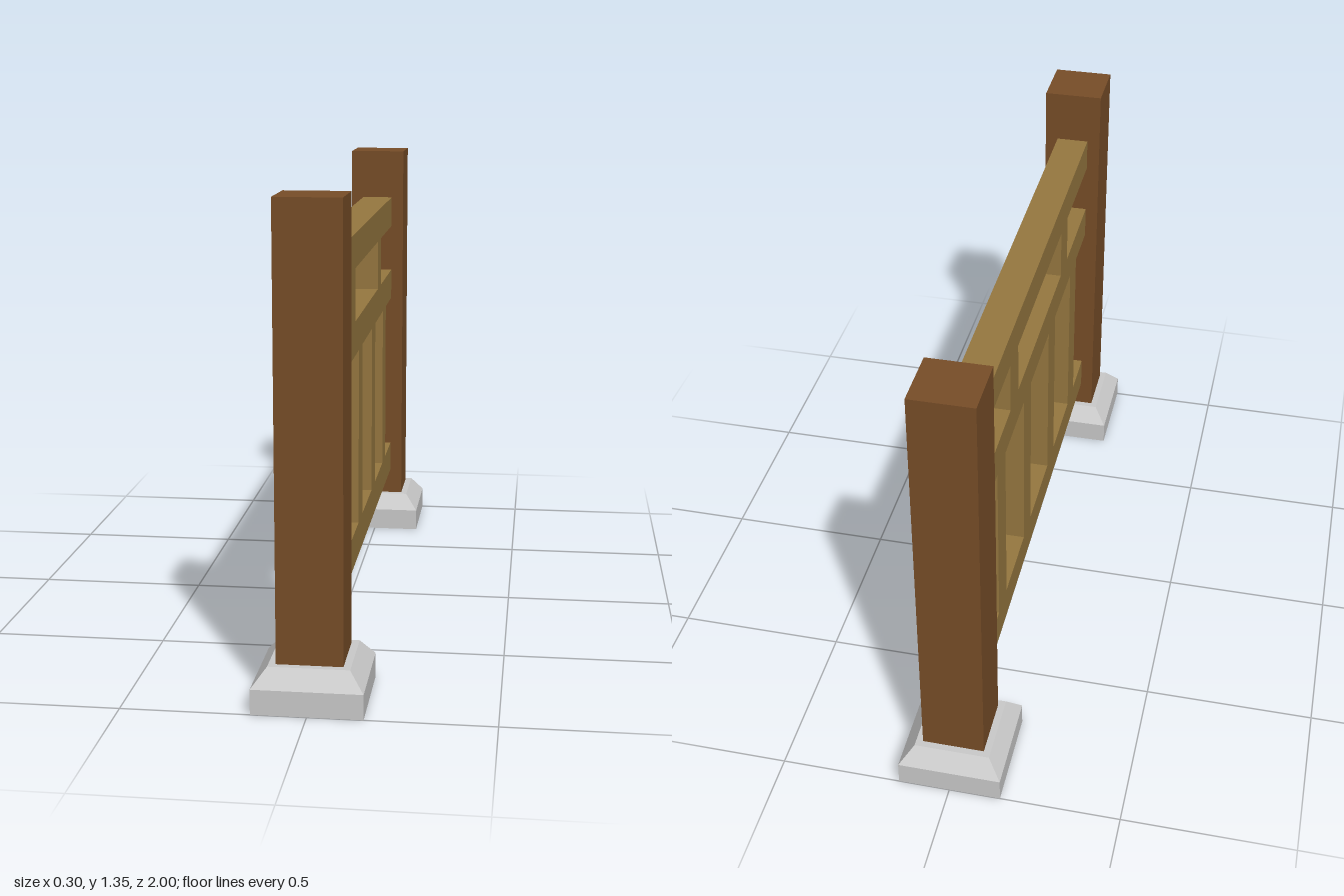
import * as THREE from 'three';

const postWood = new THREE.MeshStandardMaterial({ color: 0x784e28, flatShading: true });
const railWood = new THREE.MeshStandardMaterial({ color: 0x977840, flatShading: true });
const stone = new THREE.MeshStandardMaterial({ color: 0xcccccc, flatShading: true });

const POST_Z = 0.85;      // post centre
const POST_WIDTH = 0.18;
const BAR = 0.1;          // thickness of rails and uprights

// Box spanning y0..y1, centred on x = 0 and on z
function beam(name, material, width, depth, y0, y1, z = 0) {
  const mesh = new THREE.Mesh(new THREE.BoxGeometry(width, y1 - y0, depth), material);
  mesh.name = name;
  mesh.position.set(0, (y0 + y1) / 2, z);
  return mesh;
}

// Square block whose sides may taper from one half width to another
function taperedBlock(name, material, halfBottom, halfTop, y0, y1) {
  const geometry = new THREE.CylinderGeometry(
    halfTop * Math.SQRT2, halfBottom * Math.SQRT2, y1 - y0, 4);
  geometry.rotateY(Math.PI / 4);
  const mesh = new THREE.Mesh(geometry, material);
  mesh.name = name;
  mesh.position.y = (y0 + y1) / 2;
  return mesh;
}

export function createModel() {
  const fence = new THREE.Group();
  fence.name = 'fenceSection';

  // Posts on bevelled stone footings
  for (const [side, sign] of [['front', 1], ['back', -1]]) {
    const post = new THREE.Group();
    post.name = side + 'PostAssembly';
    post.position.z = sign * POST_Z;
    post.add(
      beam(side + 'Post', postWood, POST_WIDTH, POST_WIDTH, 0.12, 1.35),
      beam(side + 'Footing', stone, 0.3, 0.3, 0, 0.07),
      taperedBlock(side + 'FootingBevel', stone, 0.15, 0.11, 0.07, 0.12));
    fence.add(post);
  }

  // Horizontal rails between the inner post faces
  const railLength = 2 * POST_Z - POST_WIDTH;
  for (const [name, y0] of [['bottomRail', 0.205], ['middleRail', 0.835], ['topRail', 1.09]]) {
    fence.add(beam(name, railWood, BAR, railLength, y0, y0 + BAR));
  }

  // Tall balusters between the bottom and middle rails
  [0.545, 0.195, -0.17, -0.515].forEach((z, i) =>
    fence.add(beam('baluster' + (i + 1), railWood, BAR, BAR, 0.305, 0.835, z)));

  // Short spacers between the middle and top rails
  [0.38, -0.345].forEach((z, i) =>
    fence.add(beam('spacer' + (i + 1), railWood, BAR, BAR, 0.935, 1.09, z)));

  return fence;
}
